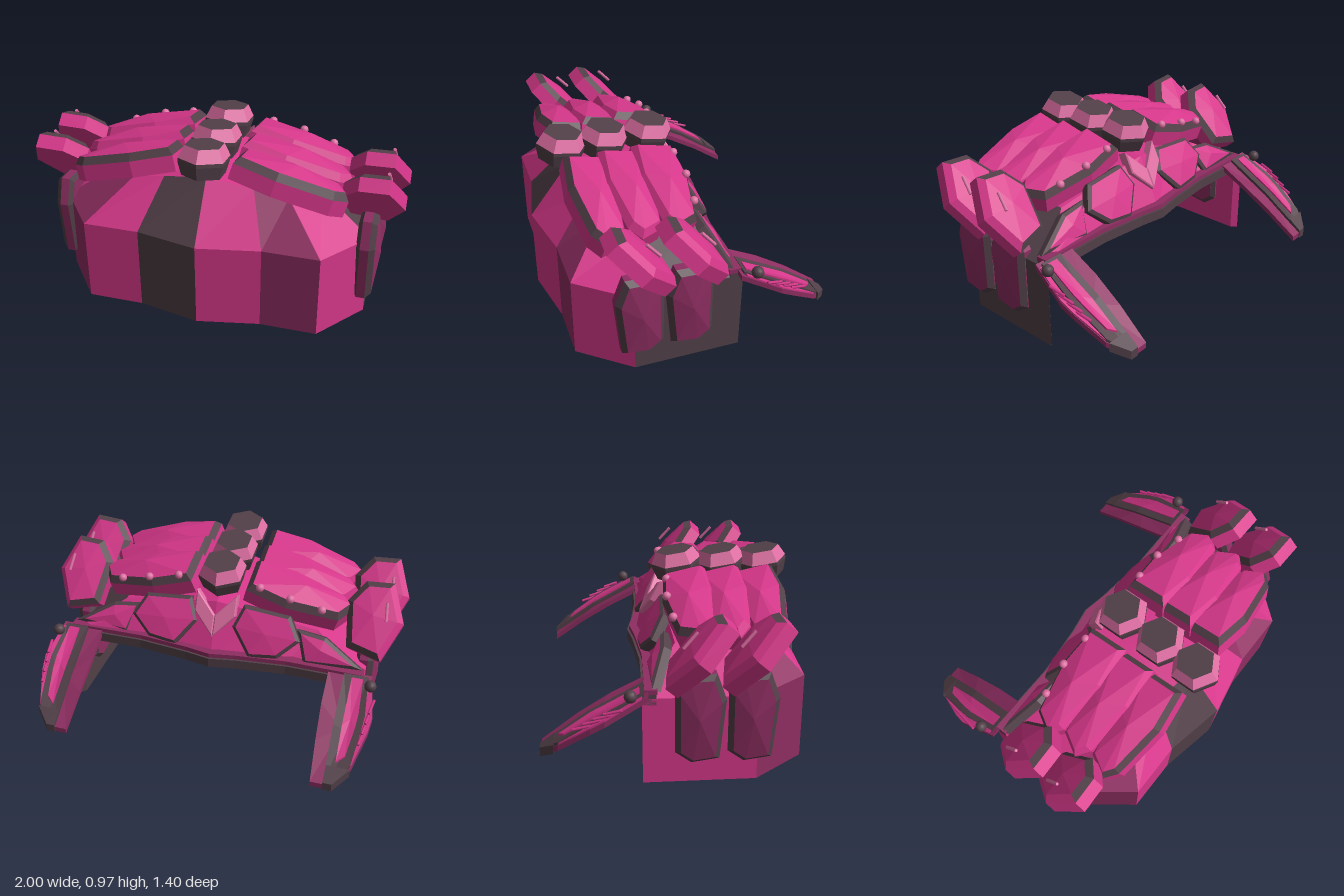
import * as THREE from 'three';

const flat = (name, color) => Object.assign(new THREE.MeshStandardMaterial({ color }), { name });

export function createModel() {
  const root = new THREE.Group();
  const magenta = flat('magenta', 0xd6378a), plum = flat('plum', 0x8f2e62);
  const grey = flat('darkGrey', 0x524048), pink = flat('palePink', 0xe070a4);

  // Joins rings of points from bottom to top; one material per band, the last one for the cap.
  // Bevel edges for which plain(x, z) is true take the cap material.
  function loft(rings, mats, peak = 0, plain = () => false) {
    let area = 0;
    const n = rings[0].length;
    rings[0].forEach((p, i) => {
      const q = rings[0][(i + 1) % n];
      area += p[2] * q[0] - q[2] * p[0];
    });
    if (area < 0) rings = rings.map(r => [...r].reverse());
    const lists = mats.map(() => []);
    const last = mats.length - 1;
    const mid = r => [0, 1, 2].map(k => r.reduce((s, p) => s + p[k], 0) / n);
    const low = mid(rings[0]), high = mid(rings.at(-1));
    high[1] += peak;
    for (let i = 0; i < n; i++) {
      const j = (i + 1) % n;
      lists[0].push(low, rings[0][j], rings[0][i]);
      lists[last].push(high, rings.at(-1)[i], rings.at(-1)[j]);
      for (let k = 0; k + 1 < rings.length; k++) {
        const a = rings[k], b = rings[k + 1];
        const isPlain = k > 0 && plain((a[i][0] + a[j][0]) / 2, (a[i][2] + a[j][2]) / 2);
        lists[isPlain ? last : k].push(a[i], a[j], b[j], a[i], b[j], b[i]);
      }
    }
    const geo = new THREE.BufferGeometry();
    geo.setAttribute('position', new THREE.Float32BufferAttribute(lists.flat(2), 3));
    let start = 0;
    lists.forEach((l, i) => { geo.addGroup(start, l.length, i); start += l.length; });
    geo.computeVertexNormals();
    return { geo, mats };
  }

  // Moves every edge of an x/z outline inwards by d.
  function inset(pts, d) {
    const n = pts.length;
    let area = 0;
    pts.forEach((p, i) => { const q = pts[(i + 1) % n]; area += p[0] * q[1] - q[0] * p[1]; });
    const s = Math.sign(area);
    const normal = (a, b) => {
      const l = Math.hypot(b[0] - a[0], b[1] - a[1]);
      return [-s * (b[1] - a[1]) / l, s * (b[0] - a[0]) / l];
    };
    return pts.map((p, i) => {
      const u = normal(pts[(i + n - 1) % n], p), v = normal(p, pts[(i + 1) % n]);
      const f = d / (1 + u[0] * v[0] + u[1] * v[1]);
      return [p[0] + (u[0] + v[0]) * f, p[1] + (u[1] + v[1]) * f];
    });
  }

  // Bevelled plate lying in x/z, facing +y.
  const at = (l, y) => l.map(([x, z]) => [x, y, z]);
  function plate(pts, { base, depth, inset: d, rise, mats, peak, plain }) {
    const top = base + depth;
    return loft([at(pts, base), at(pts, top), at(inset(pts, d), top + rise)], mats, peak, plain);
  }

  // Adds a part, and its mirror image when both is set.
  function add(name, { geo, mats }, both = false, pos = [0, 0, 0], rot = [0, 0, 0]) {
    geo = geo.index ? geo.toNonIndexed() : geo;
    geo.applyMatrix4(new THREE.Matrix4().makeRotationFromEuler(new THREE.Euler(...rot)).setPosition(...pos));
    for (const side of both ? [1, -1] : [1]) {
      const g = geo.clone();
      if (side < 0) {
        for (const key of ['position', 'normal']) {
          const a = g.attributes[key], v = new THREE.Vector3(), w = new THREE.Vector3();
          for (let i = 0; i < a.count; i++) a.setX(i, -a.getX(i));
          for (let i = 0; i < a.count; i += 3) {
            v.fromBufferAttribute(a, i + 1);
            w.fromBufferAttribute(a, i + 2);
            a.setXYZ(i + 1, w.x, w.y, w.z);
            a.setXYZ(i + 2, v.x, v.y, v.z);
          }
        }
      }
      const m = new THREE.Mesh(g, mats);
      m.name = both ? (side > 0 ? 'left' : 'right') + name : name;
      root.add(m);
    }
  }

  // Panelled wall and roof shell with a flat ceiling, open at the back
  const flip = l => l.map(([x, z]) => [-x, z]).reverse();
  const wallHalf = [[0.84, -0.2], [0.84, 0.37], [0.63, 0.635], [0.33, 0.635]];
  const roofHalf = [[0.56, -0.02], [0.56, 0.25], [0.42, 0.42], [0.24, 0.44]];
  const wall = [...wallHalf, [0, 0.7], ...flip(wallHalf), [-0.4, -0.17], [0, -0.215], [0.4, -0.17]];
  const roof = [...roofHalf, [0, 0.48], ...flip(roofHalf), [-0.28, -0.05], [0, -0.08], [0.28, -0.05]];
  const roofY = x => 0.755 - 0.23 * Math.max(0, Math.abs(x) - 0.03);
  const colours = [grey, magenta, plum, magenta, grey, magenta, plum, magenta,
    magenta, magenta, magenta, magenta];
  const wallIn = inset(wall, 0.03), roofIn = inset(roof, 0.03);
  colours.forEach((c, i) => {
    const j = (i + 1) % wall.length;
    const ring = (out, inn, y) => [out[i], out[j], inn[j], inn[i]].map(([x, z], k) => [x, y(x, k), z]);
    const foot = ring(wall, wallIn, () => 0), eave = ring(wall, wallIn, () => 0.465);
    if (i < 8) add('wallPanel', loft([foot, eave], [c]));
    add('roofPanel', loft([eave, ring(roof, roofIn, (x, k) => roofY(x) - (k > 1 ? 0.03 : 0))], [c]));
  });
  add('roofTop', loft([-0.03, 0].map(d => roof.map(([x, z]) => [x, roofY(x) + d, z])), [magenta], 0.09));
  add('ceiling', loft([at(wallIn, 0.45), at(wallIn, 0.464)], [plum]));

  // Rim along the rear edge of the roof
  const rim = [[0.84, -0.2], [0.42, -0.195], [0.14, -0.225], [0, -0.25]];
  for (let i = 0; i < 3; i++) {
    const [a, b] = [rim[i], rim[i + 1]];
    const bar = (y0, y1, z0, z1, m) => loft([y0, y1].map(y => [
      [a[0], y, a[1] + z0], [b[0], y, b[1] + z0], [b[0], y, b[1] + z1], [a[0], y, a[1] + z1]]), [m]);
    add('RearRim', bar(0.43, 0.485, 0, 0.07, grey), true);
    add('RearRimTrim', bar(0.485, 0.51, 0.012, 0.075, plum), true);
  }

  // Hexagonal studs along the spine
  const hex = (r, y) => Array.from({ length: 6 }, (_, i) =>
    [r * Math.sin(i * Math.PI / 3), y, r * 1.02 * Math.cos(i * Math.PI / 3)]);
  for (const z of [0.505, 0.275, 0.03]) {
    add('spineStud', loft([hex(0.115, -0.085), hex(0.135, -0.015), hex(0.135, 0.005), hex(0.102, 0.07)],
      [grey, grey, pink, grey]), false, [0, 0.885, z], [-0.16, 0, 0]);
  }

  // Overlapping shoulder ribs, edged in grey at the inner end and around the whole stack
  const rib = [[-0.28, 0.1], [-0.05, 0.115], [0.24, 0.06], [0.31, 0], [0.24, -0.12], [-0.05, -0.16], [-0.28, -0.13]];
  [0.46, 0.275, 0.095].forEach((z, i) => {
    add('ShoulderRib', plate(rib, { base: -0.06, depth: 0.085, inset: 0.025, rise: 0.04, peak: 0.035,
      mats: [magenta, grey, magenta],
      plain: (ex, ez) => ex > -0.25 && !(i === 0 && ez > 0) && !(i === 2 && ez < 0) }),
    true, [0.42, 0.775, z], [-0.22, 0, -0.26]);
  });

  // Large tilted shoulder guards with a pin each
  const guard = [[0.15, 0], [0.07, 0.21], [-0.08, 0.2], [-0.165, 0.08], [-0.13, -0.17], [0.06, -0.22]];
  const rod = (r, h, m) => ({ geo: new THREE.CylinderGeometry(r, r, h, 6), mats: m });
  for (const z of [0.34, 0.07]) {
    add('ShoulderGuard', plate(guard, { base: -0.055, depth: 0.075, inset: 0.032, rise: 0.03, peak: 0.015,
      plain: x => x > 0.05, mats: [magenta, grey, magenta] }), true, [0.85, 0.7, z], [-0.85, 0, 0]);
    add('GuardPin', rod(0.009, 0.1, pink), true, [0.905, 0.79, z - 0.045], [0.72, 0, 0.1]);
  }

  // Long plates hanging on the side walls, bevelled in grey on both faces
  const hanging = [[-0.24, 0.075], [-0.235, -0.065], [-0.15, -0.125], [0.18, -0.125], [0.24, -0.045], [0.22, 0.095], [-0.1, 0.125]];
  const hangingIn = inset(hanging, 0.025);
  for (const z of [0.345, 0.085]) {
    add('SidePlate', loft([at(hangingIn, -0.056), at(hangingIn, -0.055), at(hanging, -0.035), at(hanging, 0.01), at(hangingIn, 0.04)],
      [plum, grey, plum, grey, plum], 0.025), true, [0.835, 0.35, z], [0, 0, -Math.PI / 2]);
  }

  // Rear slope: inner and outer plates, chevron and a row of beads
  const rear = { base: -0.03, depth: 0.045, inset: 0.018, rise: 0.012, peak: 0.015, mats: [grey, grey, magenta] };
  add('InnerRearPlate', plate([[-0.17, 0.02], [-0.12, 0.15], [0.14, 0.13], [0.21, 0], [0.1, -0.11], [-0.06, -0.13]], rear),
    true, [0.27, 0.61, -0.12], [-1.05, 0, 0]);
  add('OuterRearPlate', plate([[-0.12, 0.11], [0.04, 0.09], [0.26, -0.05], [-0.06, -0.07]], rear),
    true, [0.57, 0.55, -0.11], [-1.05, 0, 0]);
  add('RearChevron', plate([[0.115, 0.15], [0.115, 0.03], [0, -0.1], [0, 0.02]],
    { base: -0.04, depth: 0.05, inset: 0.006, rise: 0.006, mats: [pink, pink, pink] }),
    true, [0, 0.67, -0.125], [-1.1, 0, 0]);
  const ball = (r, m) => ({ geo: new THREE.SphereGeometry(r, 12, 8), mats: m });
  for (const [x, y, z] of [[0.23, 0.86, -0.04], [0.4, 0.825, -0.05], [0.57, 0.775, -0.03]]) {
    add('RearBead', ball(0.023, pink), true, [x, y, z]);
  }

  // Sloping, slightly arched tail wings in stacked layers, with joints and small spines
  const wingY = z => 0.48 + (z + 0.2) * 0.62 + 0.02 * Math.sin(Math.PI * (-0.2 - z) / 0.5);
  const onWing = (pts, off) => pts.map(([x, z]) => [x, wingY(z) + off, z]);
  const wing = (name, pts, lo, hi, m) => add(name, loft([onWing(pts, lo), onWing(pts, hi)], [m]), true);
  wing('TailWing', [[0.655, -0.17], [0.655, -0.35], [0.665, -0.52], [0.68, -0.7], [0.79, -0.7], [0.87, -0.61], [0.92, -0.45], [0.93, -0.38], [0.89, -0.17]],
    -0.02, 0.01, plum);
  wing('TailWingEdge', [[0.8, -0.2], [0.8, -0.4], [0.8, -0.62], [0.868, -0.605], [0.918, -0.45], [0.928, -0.38], [0.89, -0.2]],
    0.002, 0.018, magenta);
  wing('TailWingBand', [[0.74, -0.19], [0.74, -0.45], [0.745, -0.702], [0.79, -0.702], [0.865, -0.61], [0.885, -0.45], [0.89, -0.38], [0.87, -0.19]],
    0.006, 0.025, grey);
  wing('TailWingInlay', [[0.785, -0.21], [0.785, -0.45], [0.79, -0.61], [0.83, -0.58], [0.852, -0.45], [0.857, -0.38], [0.845, -0.21]],
    0.02, 0.031, magenta);
  wing('TailWingTip', [[0.745, -0.63], [0.745, -0.704], [0.792, -0.704], [0.868, -0.63]], -0.022, 0.027, grey);
  add('TailJoint', ball(0.032, grey), true, [0.89, 0.505, -0.255]);
  for (let i = 0; i < 4; i++) {
    const z = -0.34 - i * 0.05;
    add('TailSpine', rod(0.008, 0.09, magenta), true, [0.915 - i * 0.008, wingY(z) + 0.03, z], [-1.85, 0, 0.15]);
  }
  return root;
}
